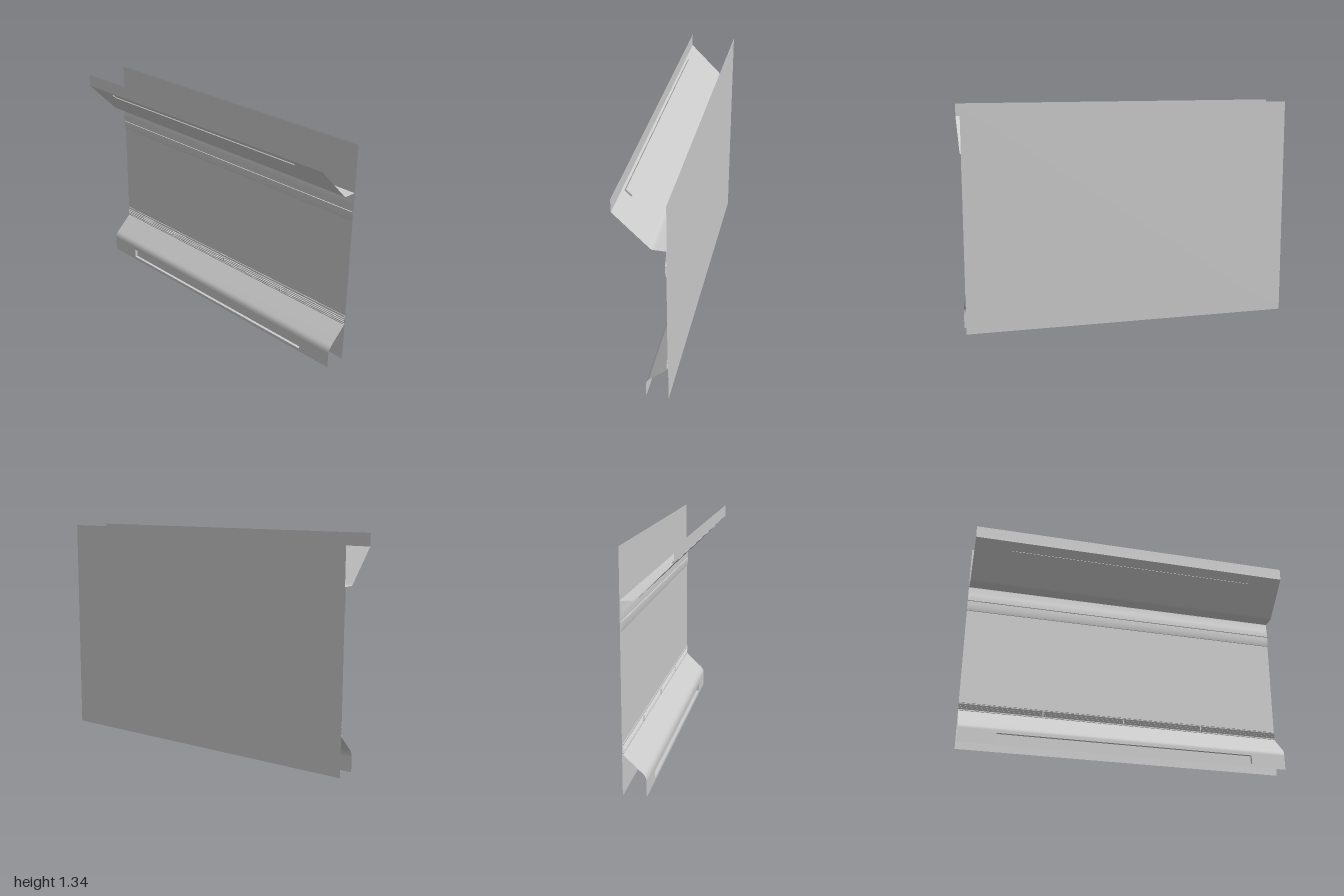
import * as THREE from 'three';
import { toCreasedNormals } from 'three/addons/utils/BufferGeometryUtils.js';

const material = new THREE.MeshStandardMaterial({ color: 0xcccccc, side: THREE.DoubleSide });
const BACK = -0.14, WALL = -0.137;

function addMesh(parent, name, geometry, x = 0, y = 0, z = 0) {
  const mesh = new THREE.Mesh(geometry, material);
  mesh.name = name;
  mesh.position.set(x, y, z);
  parent.add(mesh);
  return mesh;
}

// Sheet swept along x from a profile of [z, y] points, listed bottom to top
function sheet(profile, halfWidth = 1) {
  const positions = [];
  for (let i = 0; i < profile.length - 1; i++) {
    const [z0, y0] = profile[i], [z1, y1] = profile[i + 1], w = halfWidth;
    positions.push(-w, y0, z0, w, y0, z0, w, y1, z1, -w, y0, z0, w, y1, z1, -w, y1, z1);
  }
  const geometry = new THREE.BufferGeometry();
  geometry.setAttribute('position', new THREE.Float32BufferAttribute(positions, 3));
  return toCreasedNormals(geometry, 0.5);
}

// Rounded bend between two straight parts of a profile
function bend(from, corner, to, steps = 8) {
  const curve = new THREE.QuadraticBezierCurve(
    new THREE.Vector2(...from), new THREE.Vector2(...corner), new THREE.Vector2(...to));
  return curve.getPoints(steps).map((p) => [p.x, p.y]);
}

// Flat panel with a long window and a shallow light tray behind it
function lightPanel(name, height, bottom, top, depth, recess) {
  const group = new THREE.Group();
  group.name = name;
  const half = 0.785, t = 0.004;
  const shape = new THREE.Shape([
    new THREE.Vector2(-1, 0), new THREE.Vector2(1, 0),
    new THREE.Vector2(1, height), new THREE.Vector2(-1, height)]);
  shape.holes.push(new THREE.Path([
    new THREE.Vector2(-half, bottom), new THREE.Vector2(-half, top),
    new THREE.Vector2(half, top), new THREE.Vector2(half, bottom)]));
  addMesh(group, 'panelSheet', new THREE.ShapeGeometry(shape));
  const mid = (bottom + top) / 2, tall = top - bottom;
  for (const s of [-1, 1]) {
    addMesh(group, 'trayEnd', new THREE.BoxGeometry(t, tall, depth), s * (half - t / 2), mid, -depth / 2);
    addMesh(group, 'traySide', new THREE.BoxGeometry(2 * half, t, depth), 0, mid + s * (tall - t) / 2, -depth / 2);
  }
  addMesh(group, 'lightStrip', new THREE.BoxGeometry(2 * half - 2 * t, tall - 2 * t, depth - recess),
    0, mid, -(depth + recess) / 2);
  return group;
}

export function createModel() {
  const model = new THREE.Group();
  model.name = 'wallPanel';

  // Flat backing and front wall
  addMesh(model, 'backPlate', new THREE.PlaneGeometry(2, 1.335), 0, 0.6675, BACK);
  addMesh(model, 'wallSheet', sheet([[WALL, 0.235], [WALL, 1.06]]));

  // Lower skirt: window panel, rounded bend and slope up to the wall
  const skirt = lightPanel('skirtPanel', 0.09, 0.015, 0.077, 0.038, 0.018);
  skirt.position.z = -0.01;
  model.add(skirt);
  addMesh(model, 'skirtSlope', sheet([
    ...bend([-0.01, 0.09], [-0.01, 0.117], [-0.032, 0.137]), [WALL, 0.235]]));

  // Upper hood: shelf, sloping window panel and upright lip
  addMesh(model, 'hoodShelf', sheet([
    [BACK, 1.06], ...bend([-0.072, 1.06], [-0.06, 1.06], [-0.05, 1.07])]));
  const hood = lightPanel('hoodPanel', 0.19 * Math.SQRT2, 0.206, 0.254, 0.012, 0.006);
  hood.rotation.x = Math.PI / 4;
  hood.position.set(0, 1.07, -0.05);
  model.add(hood);
  addMesh(model, 'hoodLip', sheet([[0.14, 1.26], [0.14, 1.335]]));

  // Curved moulding below the hood
  addMesh(model, 'lowerMoulding', sheet([
    [WALL, 0.895], ...bend([-0.135, 0.897], [-0.13, 0.915], [-0.13, 0.95])]));
  addMesh(model, 'mouldingGroove', sheet([
    [-0.13, 0.95], [-0.134, 0.952], [-0.134, 0.963], [-0.13, 0.965]]));
  addMesh(model, 'upperMoulding', sheet([
    ...bend([-0.13, 0.965], [-0.13, 0.995], [-0.134, 1.015]), [WALL, 1.055]]));

  // Louvred vent above the skirt
  addMesh(model, 'ventRail', new THREE.BoxGeometry(2, 0.01, 0.006), 0, 0.29, -0.135);
  addMesh(model, 'ventSill', new THREE.BoxGeometry(2, 0.006, 0.006), 0, 0.24, -0.135);
  for (const y of [0.245, 0.257, 0.269]) {
    addMesh(model, 'ventSlat', sheet([[WALL, y], [-0.131, y + 0.009], [WALL, y + 0.011]]));
  }
  for (const x of [-0.5, 0, 0.5]) {
    addMesh(model, 'ventDivider', new THREE.BoxGeometry(0.006, 0.035, 0.007), x, 0.258, -0.1335);
  }
  return model;
}
